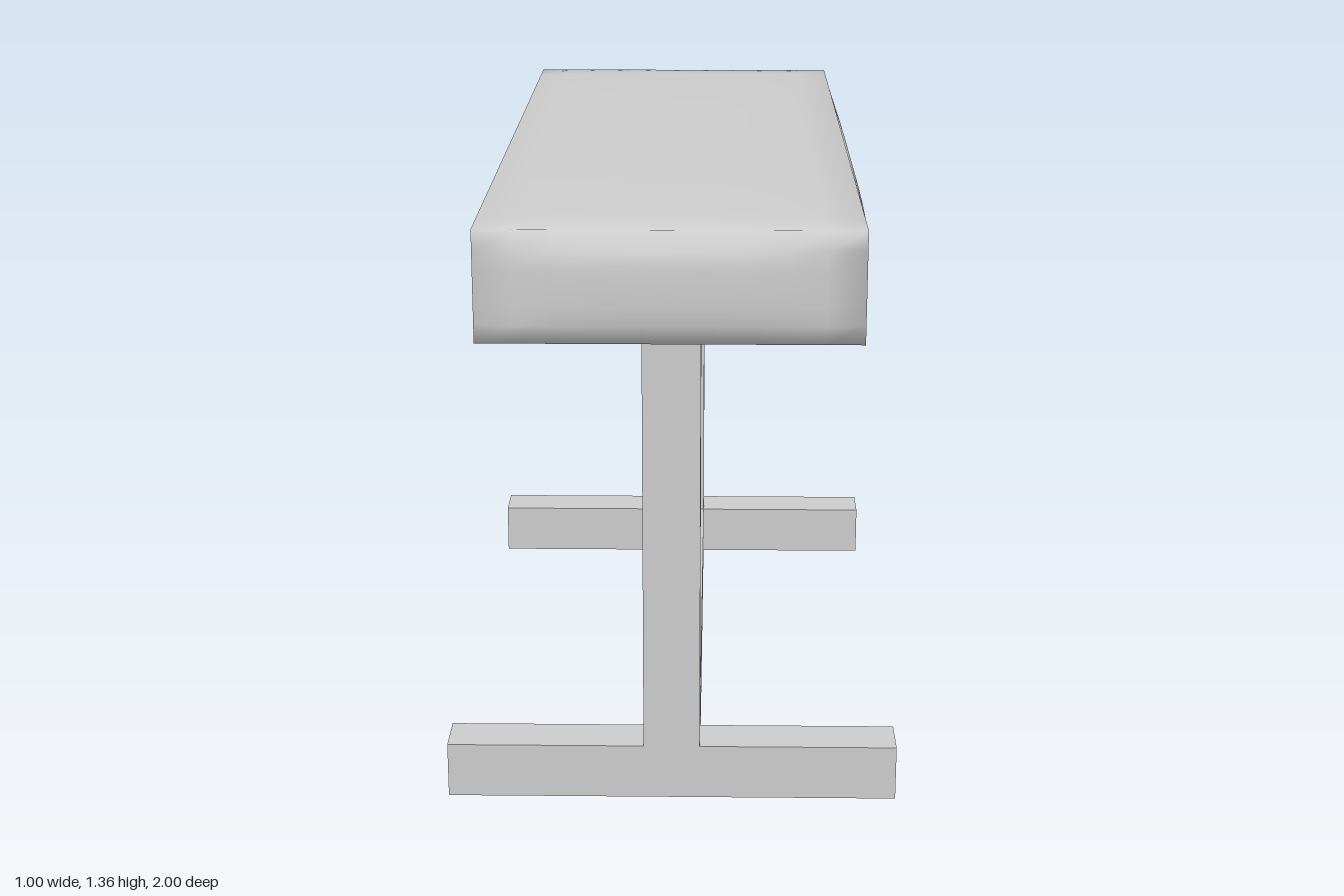
import * as THREE from 'three';
import { mergeVertices } from 'three/addons/utils/BufferGeometryUtils.js';

const grey = new THREE.MeshStandardMaterial({ color: 0xcccccc });

function addMesh(parent, name, geometry) {
  const mesh = new THREE.Mesh(geometry, grey);
  mesh.name = name;
  parent.add(mesh);
  return mesh;
}

// Padded seat: a box whose six faces swell towards their middles
function cushionGeometry() {
  const half = [0.396, 0.118, 0.98]; // half sizes at the corners
  const swell = [0.02, 0.022, 0.02]; // extra at each face's middle
  const box = new THREE.BoxGeometry(2, 2, 2, 10, 6, 20);
  box.deleteAttribute('normal');
  box.deleteAttribute('uv');
  const geometry = mergeVertices(box); // welded, so shading runs round the edges
  const pos = geometry.attributes.position;
  for (let i = 0; i < pos.count; i++) {
    const p = [pos.getX(i), pos.getY(i), pos.getZ(i)];
    const fall = p.map((c) => 1 - c ** 4);
    const q = p.map((c, k) => c * (half[k] + swell[k] * fall[(k + 1) % 3] * fall[(k + 2) % 3]));
    pos.setXYZ(i, ...q);
  }
  geometry.computeVertexNormals();
  return geometry;
}

// Upside-down T: foot bar and post in one piece
function legGeometry(depth) {
  const foot = 0.5, post = 0.0625, bar = 0.125, top = 1.1;
  const outline = [
    [-foot, 0], [foot, 0], [foot, bar], [post, bar],
    [post, top], [-post, top], [-post, bar], [-foot, bar],
  ].map(([x, y]) => new THREE.Vector2(x, y));
  return new THREE.ExtrudeGeometry(new THREE.Shape(outline), { depth, bevelEnabled: false });
}

export function createModel() {
  const model = new THREE.Group();
  model.name = 'bench';

  addMesh(model, 'cushion', cushionGeometry()).position.y = 1.224;

  const inner = 0.7, depth = 0.108;
  addMesh(model, 'frontLeg', legGeometry(depth)).position.z = inner;
  addMesh(model, 'backLeg', legGeometry(depth)).position.z = -inner - depth;

  // Floor rail joining the legs
  addMesh(model, 'stretcher', new THREE.BoxGeometry(0.125, 0.125, inner * 2)).position.y = 0.0625;

  return model;
}
